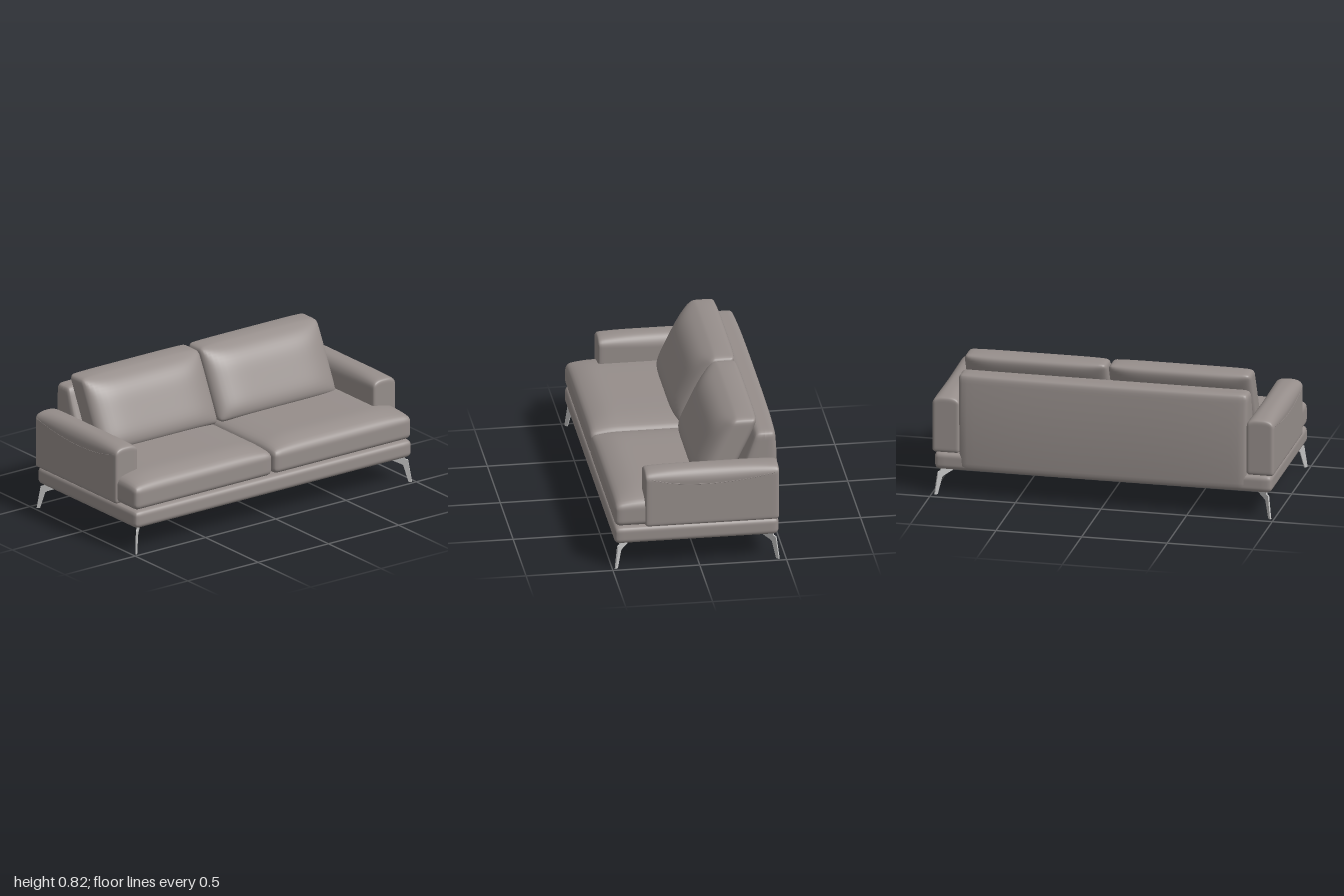
import * as THREE from 'three';
import { mergeVertices } from 'three/addons/utils/BufferGeometryUtils.js';

const fabric = new THREE.MeshStandardMaterial({ color: 0x968e8b });
fabric.name = 'greyUpholstery';
const metal = new THREE.MeshStandardMaterial({ color: 0xc2c2c2 });
metal.name = 'paleMetal';

const { lerp, clamp, smoothstep } = THREE.MathUtils;

// Rounded box between two corners; warp(p, u) shapes it, u running -1..1 on each axis
function softBox(name, min, max, radius, warp) {
  const lo = new THREE.Vector3(...min), hi = new THREE.Vector3(...max);
  const mid = lo.clone().add(hi).multiplyScalar(0.5);
  const half = hi.clone().sub(lo).multiplyScalar(0.5);
  const inner = half.clone().subScalar(radius);
  let geo = new THREE.BoxGeometry(2, 2, 2, 26, 26, 26);
  geo.deleteAttribute('uv');
  geo.deleteAttribute('normal');
  geo = mergeVertices(geo, 1e-5);
  const pos = geo.attributes.position;
  const p = new THREE.Vector3(), core = new THREE.Vector3();
  for (let i = 0; i < pos.count; i++) {
    p.fromBufferAttribute(pos, i);
    // Rows crowd towards the edges, where the rounding needs them
    for (const a of ['x', 'y', 'z']) p[a] = Math.sin(p[a] * Math.PI / 2) * half[a];
    core.copy(p).clamp(inner.clone().negate(), inner);
    p.sub(core).setLength(radius).add(core);
    const u = p.clone().divide(half);
    p.add(mid);
    if (warp) warp(p, u);
    pos.setXYZ(i, p.x, p.y, p.z);
  }
  geo.computeVertexNormals();
  const mesh = new THREE.Mesh(geo, fabric);
  mesh.name = name;
  return mesh;
}

// Low frame that carries everything
function makeBase() {
  return softBox('base', [-0.985, 0.15, -0.46], [0.985, 0.256, 0.487], 0.032);
}

// Crowned seat cushion that wraps in front of the arm
function makeSeat(side) {
  const xs = [side * 0.004, side * 0.985].sort((a, b) => a - b);
  return softBox('seatCushion', [xs[0], 0.26, -0.3], [xs[1], 0.398, 0.485], 0.035, (p, u) => {
    const s = clamp((0.485 - p.z) / 0.16, 0, 1);
    const crown = (1 - (1 - s) ** 2) * (1 - 0.85 * Math.abs(u.x) ** 6);
    p.y += 0.046 * crown * smoothstep(u.y, -0.2, 1);
  });
}

// Arm with a rounded top that falls lower in the middle of its length
function makeArm(side) {
  const arm = new THREE.Group();
  arm.name = side > 0 ? 'leftArm' : 'rightArm';
  const xs = [side * 0.836, side * 0.998].sort((a, b) => a - b);
  arm.add(softBox('armBody', [xs[0], 0.254, -0.46], [xs[1], 0.6, 0.312], 0.02, (p, u) => {
    const end = u.z * u.z;
    const drop = 0.012 * end * end + 0.05 * (1 - 0.5 * end) * Math.abs(u.x) ** 3;
    p.y -= drop * smoothstep(p.y, 0.4, 0.6);
  }));
  const path = new THREE.CatmullRomCurve3(
    [[0.29, 0.552], [0.15, 0.52], [-0.05, 0.507], [-0.27, 0.522], [-0.44, 0.552]]
      .map(([z, y]) => new THREE.Vector3(side * 0.997, y, z)));
  const seam = new THREE.Mesh(new THREE.TubeGeometry(path, 32, 0.002, 6), fabric);
  seam.name = 'armSeam';
  arm.add(seam);
  return arm;
}

// Tapering backrest with a softly bowed rear
function makeBackrest() {
  return softBox('backrest', [-0.845, 0.148, 0], [0.845, 0.735, 1], 0.035, (p, u) => {
    const rear = -0.458 - 0.014 * (1 - u.y * u.y) - 0.014 * (1 - u.x ** 4);
    const front = lerp(-0.2, -0.345, clamp((p.y - 0.32) / 0.41, 0, 1));
    // Spread the small edge radius over the front and rear faces
    const t = clamp(p.z, 0, 1);
    const edge = t < 0.5 ? Math.min(t * 6, 0.5) : 1 - Math.min((1 - t) * 6, 0.5);
    p.z = lerp(rear, front, edge);
  });
}

// Leaning back cushion, full at the front and slightly full behind
function makeBackCushion(side) {
  const xs = [side * 0.005, side * 0.836].sort((a, b) => a - b);
  return softBox('backCushion', [xs[0], 0.42, -0.08], [xs[1], 0.815, 0.08], 0.03, (p, u) => {
    const lean = -0.48 * (p.y - 0.6);
    const puff = (1 - u.x ** 6) * (1 - Math.abs(u.y) ** 5);
    const t = (u.z + 1) / 2;
    p.z = lerp(-0.255, -0.112, t) + lean + puff * (0.066 * t ** 2 - 0.033 * (1 - t) ** 2);
    p.y += 0.01 * smoothstep(u.y, 0.5, 1) * (1 - u.z * u.z) * (1 - u.x ** 6);
  });
}

// Thin bent blade set diagonally under each corner
function makeLeg(sx, sz) {
  const outline = [[0, 0.153], [0, 0.141], [0.1, 0.106], [0.112, 0.098], [0.142, 0],
    [0.162, 0], [0.139, 0.133], [0.122, 0.137], [0.118, 0.153]];
  const shape = new THREE.Shape(outline.map(([a, b]) => new THREE.Vector2(a, b)));
  const geo = new THREE.ExtrudeGeometry(shape, { depth: 0.009, bevelEnabled: false });
  geo.translate(0, 0, -0.0045);
  const leg = new THREE.Mesh(geo, metal);
  leg.name = (sz > 0 ? 'front' : 'rear') + (sx > 0 ? 'Left' : 'Right') + 'Leg';
  leg.position.set(sx * 0.867, 0, sz > 0 ? 0.369 : -0.346);
  leg.rotation.y = Math.atan2(-sz, sx);
  return leg;
}

export function createModel() {
  const sofa = new THREE.Group();
  sofa.name = 'sofa';
  sofa.add(makeBase(), makeBackrest());
  for (const side of [-1, 1]) {
    sofa.add(makeSeat(side), makeArm(side), makeBackCushion(side));
    for (const end of [-1, 1]) sofa.add(makeLeg(side, end));
  }
  return sofa;
}
